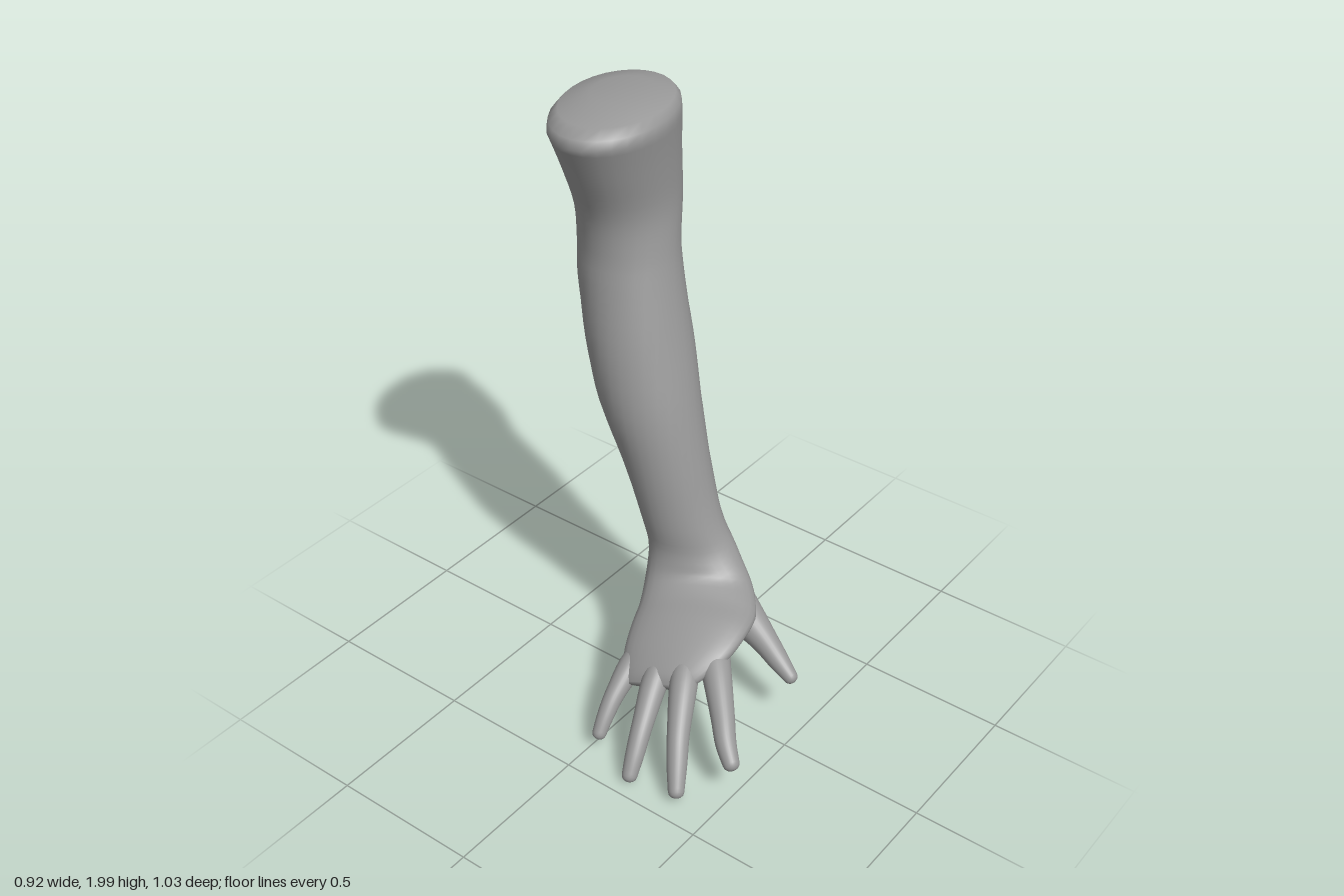
import * as THREE from 'three';

const SIDES = 28;
const V = (x, y, z) => new THREE.Vector3(x, y, z);
const material = new THREE.MeshStandardMaterial({ color: 0x989898 });

// Skin over elliptical rings { c: centre, u, v: half axes }, with u x v along the path
function loft(rings, name) {
  const pos = [], index = [];
  for (const { c, u, v } of rings) {
    for (let j = 0; j < SIDES; j++) {
      const a = (j / SIDES) * Math.PI * 2;
      const p = c.clone().addScaledVector(u, Math.cos(a)).addScaledVector(v, Math.sin(a));
      pos.push(p.x, p.y, p.z);
    }
  }
  const last = rings.length - 1;
  const start = pos.length / 3, end = start + 1;
  pos.push(...rings[0].c.toArray(), ...rings[last].c.toArray());
  for (let j = 0; j < SIDES; j++) {
    const k = (j + 1) % SIDES;
    for (let i = 0; i < last; i++) {
      const a = i * SIDES + j, b = i * SIDES + k;
      index.push(a, b, b + SIDES, a, b + SIDES, a + SIDES);
    }
    index.push(start, k, j, end, last * SIDES + j, last * SIDES + k);
  }
  const geo = new THREE.BufferGeometry();
  geo.setAttribute('position', new THREE.Float32BufferAttribute(pos, 3));
  geo.setIndex(index);
  geo.computeVertexNormals();
  const mesh = new THREE.Mesh(geo, material);
  mesh.name = name;
  return mesh;
}

// Smooth in-between rows of numbers (Catmull-Rom)
function smoothRows(rows, steps) {
  const out = [];
  const at = i => rows[Math.min(Math.max(i, 0), rows.length - 1)];
  for (let i = 0; i < rows.length - 1; i++) {
    for (let s = 0; s < steps; s++) {
      const t = s / steps;
      out.push(rows[i].map((b, k) => {
        const a = at(i - 1)[k], c = at(i + 1)[k], d = at(i + 2)[k];
        return 0.5 * (2 * b + (c - a) * t + (2 * a - 5 * b + 4 * c - d) * t * t
          + (3 * b - a - 3 * c + d) * t * t * t);
      }));
    }
  }
  out.push(rows[rows.length - 1]);
  return out;
}

// Ring from centre, half width, half depth, turn about y, tilt of the back of the hand, roll
function limbRing([x, y, z, ru, rv, turn, tilt, roll]) {
  const a = THREE.MathUtils.degToRad(turn), b = THREE.MathUtils.degToRad(tilt);
  return {
    c: V(x, y, z),
    u: V(Math.cos(a) * ru, roll, Math.sin(a) * ru),
    v: V(-Math.sin(a) * Math.cos(b), Math.sin(b), Math.cos(a) * Math.cos(b)).multiplyScalar(rv),
  };
}

// Tapered finger through [x, y, z, radius] points with a rounded tip
function finger(name, points) {
  const rows = smoothRows(points, 5);
  const n = rows.length - 1;
  const dir = i => V(...rows[Math.min(i + 1, n)]).sub(V(...rows[Math.max(i - 1, 0)])).normalize();
  const ring = (c, t, r) => {
    const u = V(0, 1, 0).cross(t).normalize();
    return { c, u: u.clone().multiplyScalar(r), v: t.clone().cross(u).multiplyScalar(r) };
  };
  const rings = rows.map((p, i) => ring(V(p[0], p[1], p[2]), dir(i), p[3]));
  const tip = rows[n], t = dir(n);
  for (const a of [0.5, 0.95, 1.3]) {
    const c = V(tip[0], tip[1], tip[2]).addScaledVector(t, Math.sin(a) * tip[3] * 0.8);
    rings.push(ring(c, t, tip[3] * Math.cos(a)));
  }
  return loft(rings, name);
}

export function createModel() {
  const group = new THREE.Group();
  group.name = 'arm';

  // Slightly domed cut end with a softly rounded rim
  const cut = [
    [0.24, 2.0, -0.338, 0.11, 0.09, -6, 0, 0],
    [0.213, 1.983, -0.336, 0.212, 0.16, -6, 0, 0.006],
    [0.202, 1.96, -0.334, 0.243, 0.178, -6, 0, 0.008],
  ];
  // Upper arm, elbow, forearm, bent wrist and palm in one skin
  const limb = [
    [0.2, 1.93, -0.334, 0.249, 0.181, -6, 0, 0.008],
    [0.231, 1.8, -0.335, 0.223, 0.165, -5, 0, 0],
    [0.262, 1.65, -0.335, 0.192, 0.155, -2, 0, 0],
    [0.25, 1.52, -0.325, 0.168, 0.16, 4, 0, 0],
    [0.234, 1.4, -0.307, 0.168, 0.167, 10, 0, 0],
    [0.21, 1.2, -0.255, 0.175, 0.165, 20, 0, 0],
    [0.192, 1.0, -0.2, 0.166, 0.162, 30, 0, 0],
    [0.185, 0.8, -0.13, 0.144, 0.138, 42, 0, 0],
    [0.178, 0.6, -0.06, 0.134, 0.108, 54, 0, 0],
    [0.178, 0.485, -0.012, 0.147, 0.092, 58, 6, 0],
    [0.148, 0.382, 0.035, 0.178, 0.088, 60, 44, 0.005],
    [0.07, 0.334, 0.09, 0.197, 0.082, 65, 72, 0.015],
    [-0.02, 0.32, 0.12, 0.196, 0.07, 70, 74, 0.028],
    [-0.115, 0.287, 0.138, 0.178, 0.056, 74, 68, 0.035],
    [-0.19, 0.242, 0.138, 0.137, 0.041, 77, 62, 0.035],
    [-0.22, 0.222, 0.137, 0.10, 0.016, 78, 60, 0.025],
  ];
  group.add(loft([...cut, ...smoothRows(limb, 4)].map(limbRing), 'forearmAndPalm'));

  // Fingers and thumb, each rooted deep inside the palm
  const digits = {
    thumb: [[0.16, 0.39, 0.03, 0.07], [0.176, 0.352, 0.12, 0.083], [0.162, 0.312, 0.21, 0.067],
      [0.14, 0.268, 0.31, 0.046], [0.121, 0.228, 0.385, 0.035], [0.109, 0.195, 0.442, 0.024]],
    indexFinger: [[0.03, 0.31, 0.15, 0.045], [-0.03, 0.306, 0.222, 0.055], [-0.105, 0.277, 0.298, 0.048],
      [-0.195, 0.218, 0.387, 0.039], [-0.25, 0.175, 0.44, 0.034], [-0.286, 0.138, 0.488, 0.027]],
    middleFinger: [[-0.05, 0.3, 0.15, 0.035], [-0.17, 0.264, 0.216, 0.046], [-0.3, 0.178, 0.292, 0.037],
      [-0.365, 0.11, 0.335, 0.033], [-0.415, 0.048, 0.37, 0.026]],
    ringFinger: [[-0.07, 0.29, 0.105, 0.035], [-0.19, 0.242, 0.122, 0.044], [-0.32, 0.157, 0.165, 0.035],
      [-0.39, 0.09, 0.187, 0.031], [-0.437, 0.033, 0.2, 0.025]],
    littleFinger: [[-0.06, 0.28, 0.035, 0.035], [-0.165, 0.232, 0.012, 0.043], [-0.27, 0.168, 0.014, 0.033],
      [-0.33, 0.115, 0.019, 0.028], [-0.372, 0.066, 0.024, 0.023]],
  };
  for (const [name, points] of Object.entries(digits)) group.add(finger(name, points));

  return group;
}
